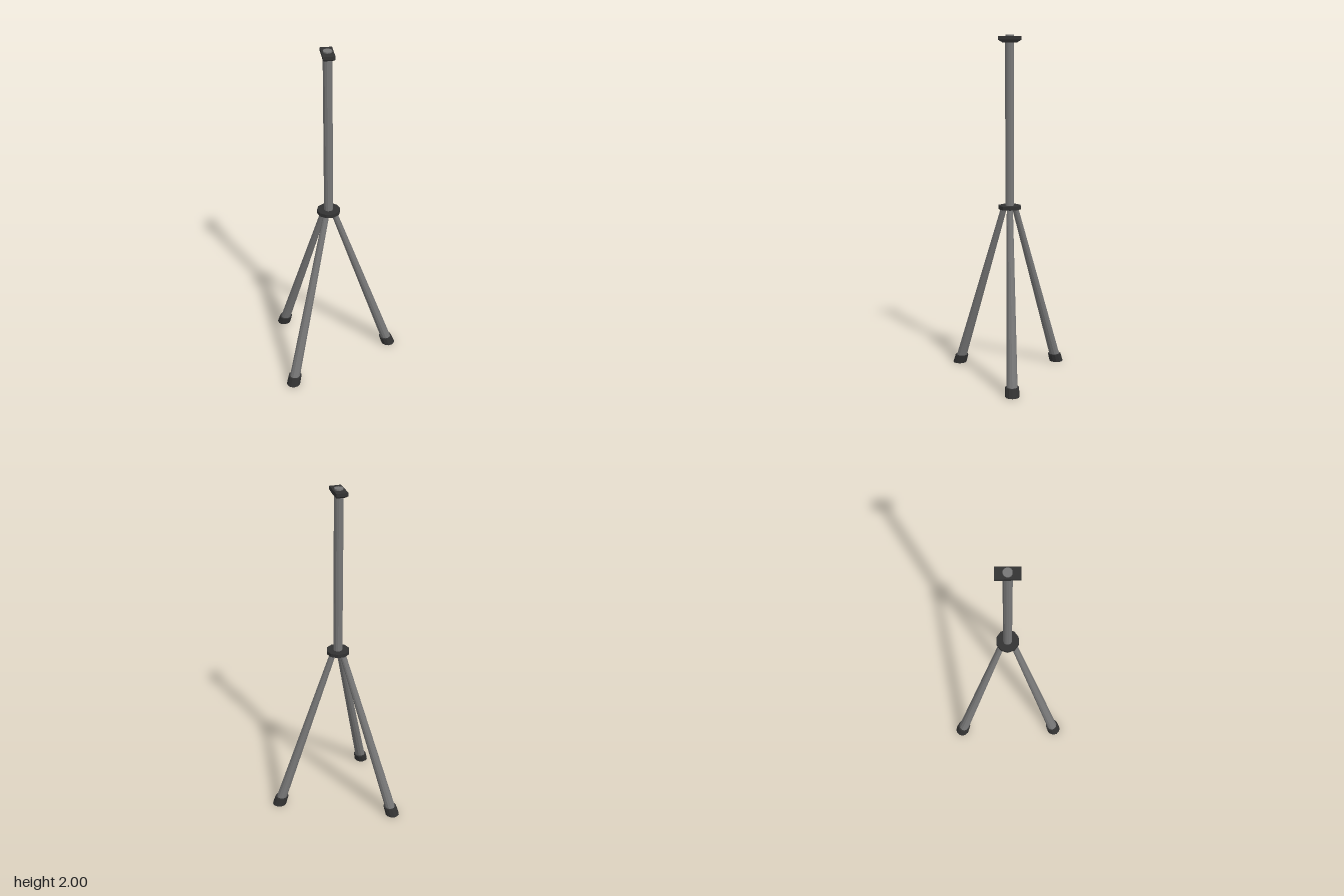
import * as THREE from 'three';

const grey = new THREE.MeshStandardMaterial({ color: 0x777777, flatShading: true });
const dark = new THREE.MeshStandardMaterial({ color: 0x333333, flatShading: true });
const AXIS_X = -0.06;

function add(parent, name, geometry, material) {
  const mesh = new THREE.Mesh(geometry, material);
  mesh.name = name;
  parent.add(mesh);
  return mesh;
}

// Upright prism or frustum between two heights on the main axis
function upright(rTop, rBottom, y0, y1, sides) {
  const g = new THREE.CylinderGeometry(rTop, rBottom, y1 - y0, sides, 1, false, Math.PI / sides);
  return g.translate(AXIS_X, (y0 + y1) / 2, 0);
}

// Tapered tube leaning from a to b, with both ends cut level
function leaning(a, b, rTop, rBottom) {
  const g = new THREE.CylinderGeometry(rTop, rBottom, 1, 12);
  const p = g.attributes.position;
  for (let i = 0; i < p.count; i++) {
    const t = p.getY(i) + 0.5;
    const c = new THREE.Vector3().lerpVectors(b, a, t);
    p.setXYZ(i, c.x + p.getX(i), c.y, c.z + p.getZ(i));
  }
  g.computeVertexNormals();
  return g;
}

export function createModel() {
  const model = new THREE.Group();
  model.name = 'tripodStand';

  // Three splayed legs with dark feet: [top x, top z, foot x, foot z]
  const legs = [
    [-0.033, 0, 0.312, 0],
    [-0.077, 0.032, -0.317, 0.3],
    [-0.077, -0.032, -0.317, -0.3],
  ];
  legs.forEach(([tx, tz, fx, fz]) => {
    const leg = new THREE.Group();
    leg.name = 'leg';
    const top = new THREE.Vector3(tx, 1.01, tz);
    const foot = new THREE.Vector3(fx, 0, fz);
    const ankle = new THREE.Vector3().lerpVectors(foot, top, 0.05);
    const shin = new THREE.Vector3().lerpVectors(foot, top, 0.03);
    add(leg, 'legTube', leaning(top, shin, 0.018, 0.031), grey);
    add(leg, 'foot', leaning(ankle, foot, 0.039, 0.041), dark);
    model.add(leg);
  });

  // Collar and column
  add(model, 'collar', upright(0.067, 0.067, 1.005, 1.026, 10), dark);
  add(model, 'column', upright(0.026, 0.026, 1.02, 1.97, 12), grey);

  // Mounting plate: bevelled underside, straight rim
  const base = new THREE.BoxGeometry(0.066, 0.016, 0.132);
  const p = base.attributes.position;
  for (let i = 0; i < p.count; i++) {
    if (p.getY(i) < 0) {
      p.setX(i, p.getX(i) * 0.75);
      p.setZ(i, p.getZ(i) * 0.6);
    }
  }
  base.translate(AXIS_X, 1.965, 0);
  base.computeVertexNormals();
  add(model, 'plateUnderside', base, dark);
  add(model, 'plate', new THREE.BoxGeometry(0.066, 0.019, 0.132).translate(AXIS_X, 1.9825, 0), dark);
  add(model, 'topButton', upright(0.025, 0.025, 1.985, 2, 12), grey);

  return model;
}
